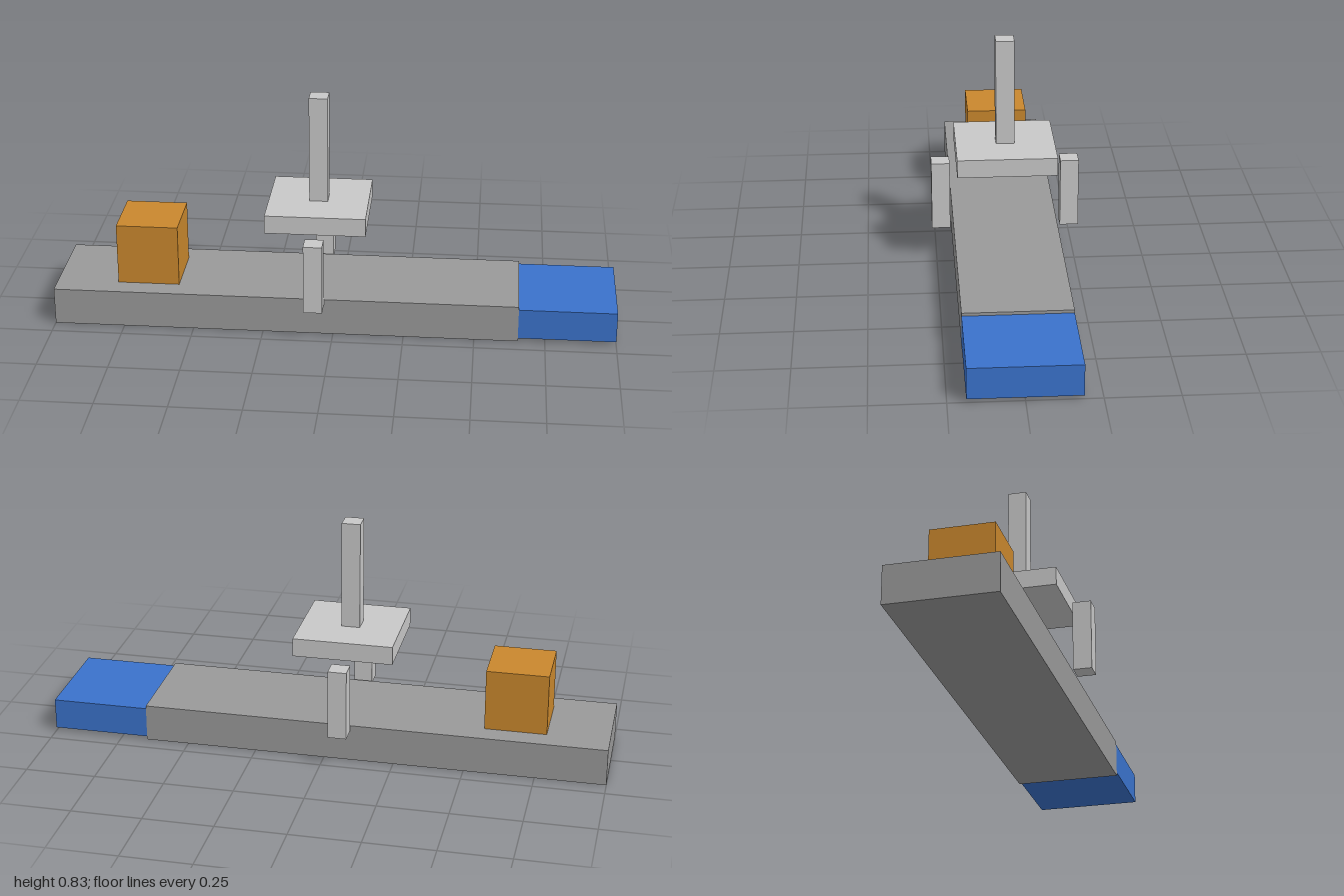
import * as THREE from 'three';

const material = (name, color) => {
  const m = new THREE.MeshStandardMaterial({ color });
  m.name = name;
  return m;
};

export function createModel() {
  const group = new THREE.Group();
  const grey = material('belt grey', 0x999999);
  const silver = material('light grey', 0xc8c8c8);
  const orange = material('parcel orange', 0xc9872d);
  const blue = material('tray blue', 0x3a72cb);

  // Box given by its x and y ranges, depth and centre z
  const block = (name, mat, x0, x1, y0, y1, depth, z = 0) => {
    const mesh = new THREE.Mesh(new THREE.BoxGeometry(x1 - x0, y1 - y0, depth), mat);
    mesh.position.set((x0 + x1) / 2, (y0 + y1) / 2, z);
    mesh.name = name;
    group.add(mesh);
  };

  // Conveyor with its end tray and the load it carries
  block('conveyorBed', grey, -1, 0.655, 0, 0.134, 0.376);
  block('endTray', blue, 0.655, 1, 0.012, 0.123, 0.376);
  block('parcel', orange, -0.78, -0.56, 0.134, 0.356, 0.222);

  // Press: plate on a vertical rod
  block('pressPlate', silver, -0.241, 0.113, 0.379, 0.445, 0.354);
  block('pressRod', silver, -0.097, -0.031, 0.445, 0.832, 0.066);

  // Sensor posts on both sides of the conveyor
  for (const side of [1, -1]) {
    block(side > 0 ? 'frontPost' : 'backPost', silver, -0.097, -0.031, 0.119, 0.372, 0.066, side * 0.232);
  }
  return group;
}
